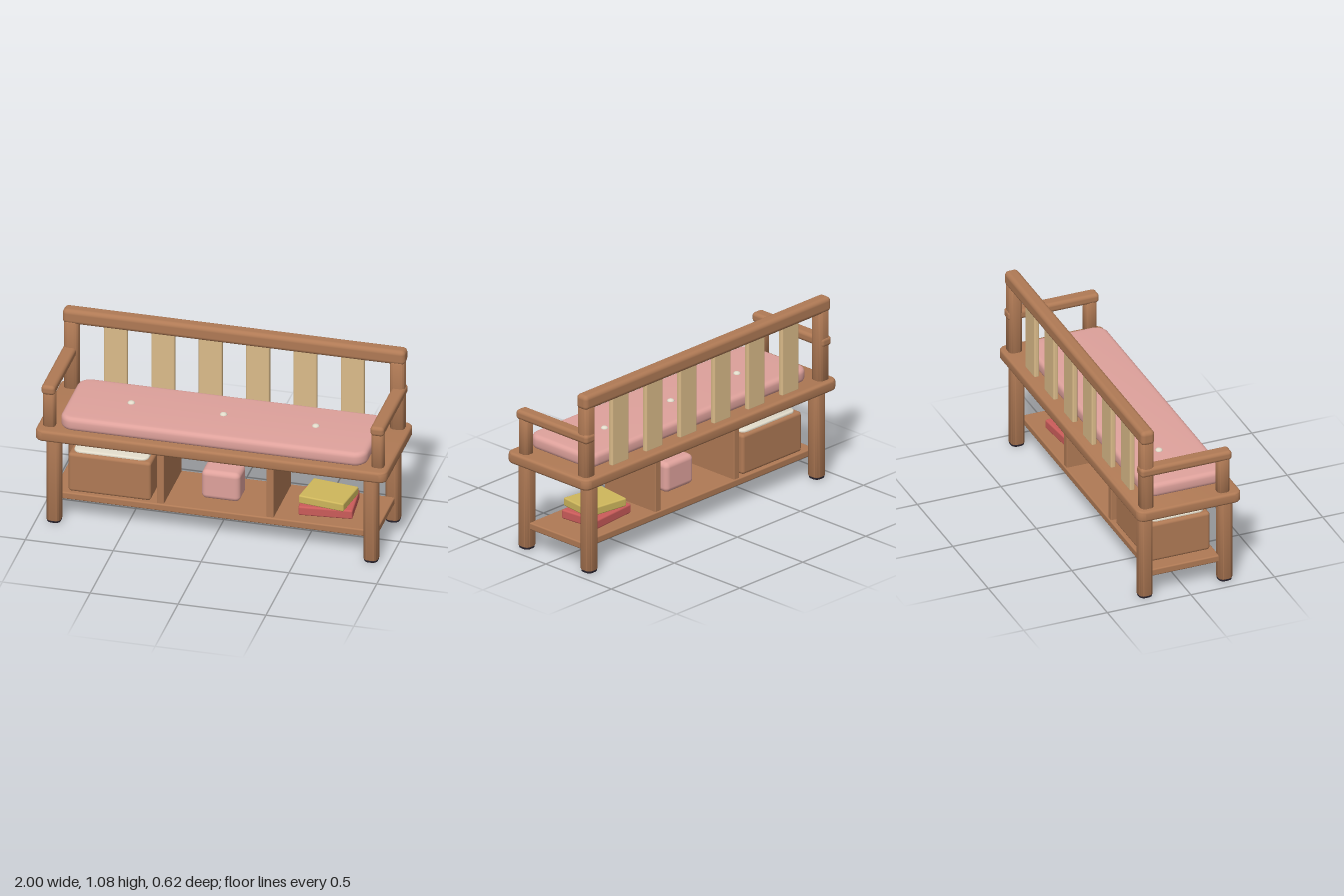
import * as THREE from 'three';
import { toCreasedNormals } from 'three/addons/utils/BufferGeometryUtils.js';
import { RoundedBoxGeometry } from 'three/addons/geometries/RoundedBoxGeometry.js';

const paint = (name, color) => {
  const m = new THREE.MeshStandardMaterial({ color });
  m.name = name;
  return m;
};

// Upright slab: plan corners of radius r, top and bottom edges bevelled by b, base at y = 0
function slabGeometry(w, h, d, r, b) {
  const x = w / 2 - b, y = d / 2 - b, c = r - b;
  const s = new THREE.Shape();
  s.moveTo(-x + c, -y);
  s.lineTo(x - c, -y);
  s.absarc(x - c, -y + c, c, -Math.PI / 2, 0);
  s.lineTo(x, y - c);
  s.absarc(x - c, y - c, c, 0, Math.PI / 2);
  s.lineTo(-x + c, y);
  s.absarc(-x + c, y - c, c, Math.PI / 2, Math.PI);
  s.lineTo(-x, -y + c);
  s.absarc(-x + c, -y + c, c, Math.PI, Math.PI * 1.5);
  const g = new THREE.ExtrudeGeometry(s, {
    depth: h - 2 * b, bevelEnabled: true, bevelSize: b, bevelThickness: b, bevelSegments: 4, curveSegments: 5,
  });
  g.translate(0, 0, b);
  g.rotateX(-Math.PI / 2);
  return toCreasedNormals(g, 0.7);
}

export function createModel() {
  const wood = paint('wood', 0xb07a55);
  const paleWood = paint('pale wood', 0xdcbc8a);
  const pink = paint('pink fabric', 0xdfa29c);
  const cream = paint('cream', 0xe2dccb);
  const red = paint('red cover', 0xcb5c5a);
  const yellow = paint('yellow cover', 0xcfb75c);
  const dark = paint('dark rubber', 0x2c2632);

  const bench = new THREE.Group();
  bench.name = 'storageBench';
  const add = (name, geometry, material, x, y, z, turn = 0) => {
    const m = new THREE.Mesh(geometry, material);
    m.name = name;
    m.position.set(x, y, z);
    m.rotation.y = turn;
    bench.add(m);
    return m;
  };
  // Rounded block given by its size, centre x and z, and the height of its base
  const block = (name, material, [w, h, d], r, x, y, z, turn) =>
    add(name, new RoundedBoxGeometry(w, h, d, 3, r), material, x, y + h / 2, z, turn);

  // Seat board, cushion and buttons
  add('seat', slabGeometry(2, 0.065, 0.62, 0.045, 0.015), wood, 0, 0.52, 0);
  add('cushion', slabGeometry(1.745, 0.081, 0.485, 0.075, 0.026), pink, 0, 0.584, 0.0275);
  for (const x of [-0.525, 0, 0.525]) {
    const button = add('button', new THREE.SphereGeometry(0.021, 16, 10), cream, x, 0.664, 0.01);
    button.scale.y = 0.65;
  }

  // Legs, feet, posts and armrests on both sides
  const leg = slabGeometry(0.083, 0.515, 0.083, 0.03, 0.006);
  const foot = slabGeometry(0.078, 0.022, 0.078, 0.03, 0.006);
  const backPost = slabGeometry(0.083, 0.42, 0.078, 0.028, 0.006);
  const armPost = slabGeometry(0.07, 0.22, 0.07, 0.024, 0.006);
  for (const side of [-1, 1]) {
    for (const z of [0.24, -0.236]) {
      add('leg', leg, wood, side * 0.902, 0.012, z);
      add('foot', foot, dark, side * 0.902, 0, z);
    }
    add('backPost', backPost, wood, side * 0.928, 0.58, -0.24);
    add('armPost', armPost, wood, side * 0.935, 0.58, 0.215);
    block('armrest', wood, [0.078, 0.057, 0.545], 0.02, side * 0.936, 0.785, -0.0125);
  }

  // Backrest
  block('topRail', wood, [1.95, 0.088, 0.081], 0.025, 0, 0.987, -0.242);
  for (let i = 0; i < 6; i++) {
    block('slat', paleWood, [0.134, 0.42, 0.03], 0.009, -0.677 + i * 0.2696, 0.578, -0.24);
  }

  // Lower shelf and dividers
  block('shelf', wood, [1.84, 0.042, 0.408], 0.008, 0, 0.12, 0.002);
  for (const side of [-1, 1]) {
    block('divider', wood, [0.042, 0.37, 0.39], 0.006, side * 0.312, 0.155, 0);
  }

  // Things on the shelf
  block('storageBox', wood, [0.47, 0.238, 0.37], 0.018, -0.605, 0.16, 0);
  add('boxLid', slabGeometry(0.425, 0.035, 0.33, 0.04, 0.008), cream, -0.605, 0.376, 0);
  block('smallCushion', pink, [0.22, 0.177, 0.15], 0.03, 0, 0.16, 0.01);
  block('redBook', red, [0.303, 0.055, 0.25], 0.01, 0.598, 0.164, 0.002, 0.09);
  block('yellowBook', yellow, [0.268, 0.049, 0.222], 0.008, 0.598, 0.22, 0.012, -0.135);

  return bench;
}
